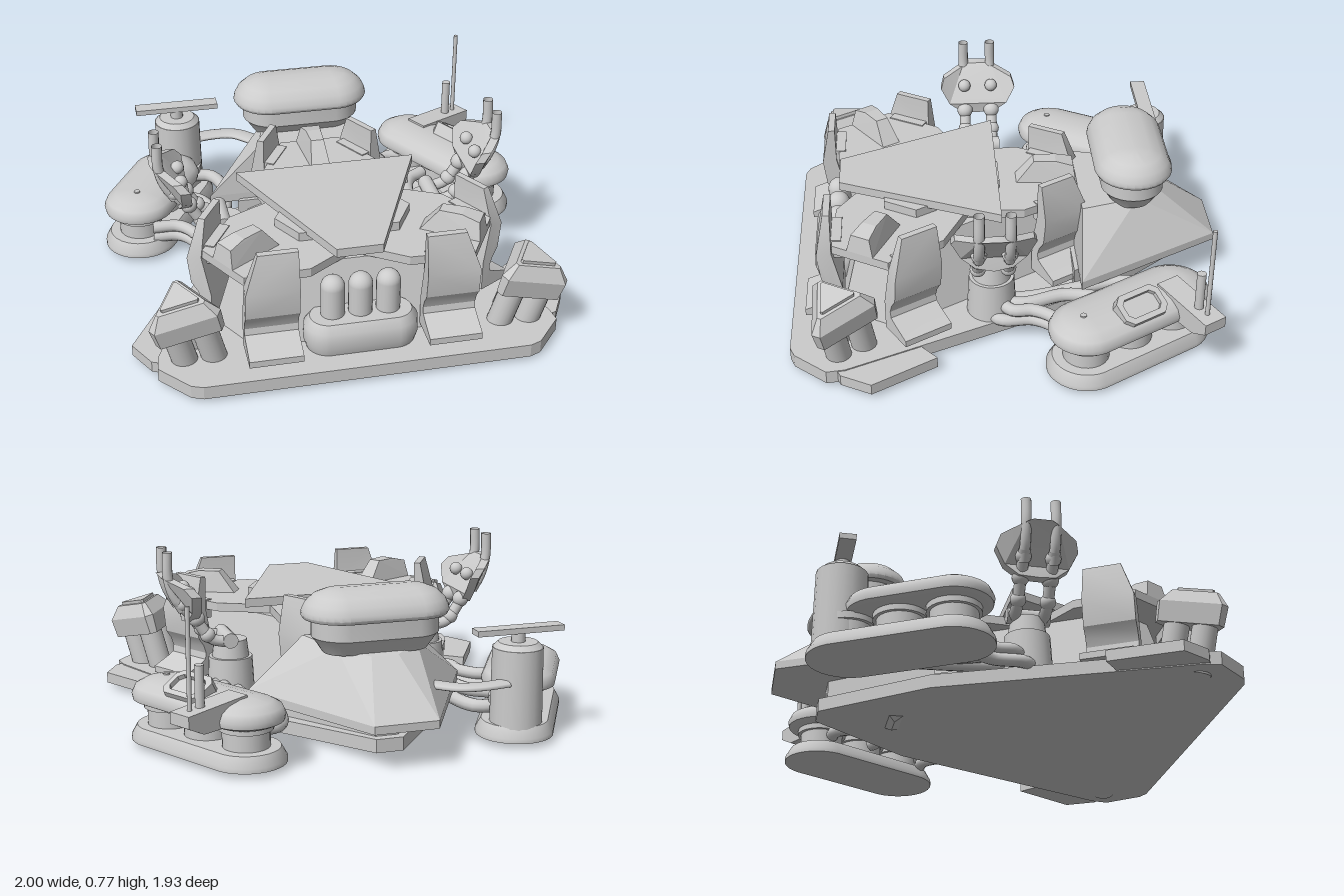
import * as THREE from 'three';
import { ConvexGeometry } from 'three/addons/geometries/ConvexGeometry.js';
import { toCreasedNormals } from 'three/addons/utils/BufferGeometryUtils.js';

const mat = new THREE.MeshStandardMaterial({ color: 0xcccccc, side: THREE.DoubleSide });
const CZ = 0.32; // centre of the three-sided superstructure

function add(parent, name, geo, pos = [0, 0, 0], rot = [0, 0, 0]) {
  const m = new THREE.Mesh(geo, mat);
  m.name = name;
  m.position.set(...pos);
  m.rotation.set(...rot);
  parent.add(m);
  return m;
}
function group(parent, name, pos = [0, 0, 0], rotY = 0) {
  const g = new THREE.Group();
  g.name = name;
  g.position.set(...pos);
  g.rotation.y = rotY;
  parent.add(g);
  return g;
}
const hull = pts => new ConvexGeometry(pts.map(p => new THREE.Vector3(...p)));
const ring = (pts, y) => pts.map(([x, z]) => [x, y, z]);
const slab = (pts, y0, y1) => hull([...ring(pts, y0), ...ring(pts, y1)]);
const mirrored = pts => pts.flatMap(([x, ...r]) => [[x, ...r], [-x, ...r]]);
const box = (w, h, d) => new THREE.BoxGeometry(w, h, d);
const cyl = (r0, r1, h, n = 24) => new THREE.CylinderGeometry(r0, r1, h, n);
const v2 = pts => pts.map(p => new THREE.Vector2(...p));

// Triangle with cut corners: e = distance of long edges, c = distance of corner cuts
function triangle(e, c) {
  const t = (c - e / 2) / Math.sin(Math.PI / 3), pts = [];
  for (let i = 0; i < 3; i++) {
    const a = i * Math.PI * 2 / 3, s = Math.sin(a), k = Math.cos(a);
    for (const u of [-t, t]) pts.push([u * k + e * s, -u * s + e * k]);
  }
  return pts;
}
// Lathe profile pulled apart along x into a long rounded body; the caps close on the long axis
function stadium(profile, half) {
  const n = 32, g = new THREE.LatheGeometry(v2(profile), n, Math.PI / n);
  const p = g.attributes.position;
  for (let i = 0; i < p.count; i++) {
    if (Math.hypot(p.getX(i), p.getZ(i)) < 0.001) p.setZ(i, 0);
    p.setX(i, p.getX(i) + Math.sign(p.getX(i)) * half);
  }
  g.computeVertexNormals();
  return toCreasedNormals(g, 0.75);
}
// Outline in (z, y), extruded towards -x, then reshaped by a rule
function sideExtrude(outline, depth, rule) {
  const g = new THREE.ExtrudeGeometry(new THREE.Shape(v2(outline)), { depth, bevelEnabled: false });
  g.rotateY(-Math.PI / 2);
  const p = g.attributes.position;
  for (let i = 0; i < p.count; i++) p.setX(i, rule(p.getX(i), p.getY(i), p.getZ(i)));
  g.computeVertexNormals();
  return toCreasedNormals(g, 0.5);
}
const tube = (pts, r) => new THREE.TubeGeometry(
  new THREE.CatmullRomCurve3(pts.map(p => new THREE.Vector3(...p))), 24, r, 12);

// Kinked armour fins with a foot, a pair for every edge, and a block at every corner
function buildSuperstructure(root) {
  const fin = sideExtrude([[0.41, 0.1], [0.58, 0.1], [0.58, 0.13], [0.49, 0.165], [0.46, 0.18], [0.455, 0.21],
    [0.47, 0.25], [0.5, 0.29], [0.515, 0.41], [0.48, 0.58], [0.45, 0.58], [0.45, 0.42], [0.41, 0.24]], 1, (x, y) => {
    const outer = y > 0.41 ? 0.5 - (y - 0.41) * 0.35 : 0.5;
    return -0.27 + x * (outer - 0.27);
  });
  const block = hull(mirrored([[0.065, 0.46, -0.65], [0.045, 0.46, -0.38], [0.035, 0.56, -0.56],
    [0.03, 0.56, -0.46], [0.045, 0.54, -0.64]]));
  const arm = slab(mirrored([[0.25, -0.1], [0.27, -0.4], [0.14, -0.65]]), 0.42, 0.46);
  for (let i = 0; i < 3; i++) {
    const g = group(root, 'superstructureSide', [0, 0, CZ], i * Math.PI * 2 / 3);
    for (const s of [1, -1]) {
      add(g, 'armourFin', fin).scale.x = s;
      add(g, 'finBracket', box(0.18, 0.09, 0.06), [s * 0.37, 0.42, 0.435]);
    }
    add(g, 'cornerArm', arm);
    add(g, 'cornerBlock', block);
  }
  const core = group(root, 'core', [0, 0, CZ]);
  add(core, 'coreBody', hull([...ring(triangle(0.42, 0.6), 0.07), ...ring(triangle(0.33, 0.5), 0.42)]));
  add(core, 'deckSupport', slab(triangle(0.22, 0.3), 0.42, 0.5));
  add(root, 'deck', slab(mirrored([[0.41, 0.03], [0.1, 0.74]]), 0.49, 0.53));
}

// Splayed launcher with three barrels under a triangular head
function buildCorner(side) {
  const g = group(side, 'cornerLauncher', [0.675, 0.02, 0.705], -Math.PI / 6);
  const lean = group(g, 'launcherLean');
  lean.rotation.z = -0.27;
  for (let i = 0; i < 3; i++) {
    const a = i * Math.PI * 2 / 3;
    add(lean, 'barrel', cyl(0.055, 0.055, 0.26, 20), [0.07 * Math.cos(a), 0.155, 0.07 * Math.sin(a)]);
  }
  const head = add(lean, 'launcherHead', hull([...ring(triangle(0.095, 0.16), 0.23),
    ...ring(triangle(0.1, 0.165), 0.32), ...ring(triangle(0.065, 0.115), 0.38)]));
  head.rotation.y = -Math.PI / 2;
  add(lean, 'headCap', slab(triangle(0.05, 0.09), 0.38, 0.395)).rotation.y = -Math.PI / 2;
}

// Jointed double arm with a curved shield
function buildArm(side) {
  const g = group(side, 'jointedArm', [0, 0, 0.08]);
  add(g, 'armDrum', cyl(0.1, 0.11, 0.18), [0.47, 0.17, 0]);
  add(g, 'armCollar', cyl(0.075, 0.085, 0.08), [0.47, 0.3, 0]);
  add(g, 'armAxle', cyl(0.035, 0.035, 0.19, 16), [0.49, 0.35, 0], [Math.PI / 2, 0, 0]);
  for (const z of [-0.065, 0.065]) {
    add(g, 'armTube', tube([[0.47, 0.34, z], [0.57, 0.36, z], [0.64, 0.45, z], [0.73, 0.55, z]], 0.026));
    for (const [x, y, r] of [[0.59, 0.38, 0.035], [0.64, 0.46, 0.038], [0.67, 0.58, 0.03], [0.7, 0.53, 0.035]])
      add(g, 'joint', new THREE.SphereGeometry(r, 16, 12), [x, y, z]);
    add(g, 'armBarrel', tube([[0.7, 0.5, z], [0.745, 0.58, z], [0.765, 0.66, z], [0.765, 0.77, z]], 0.023));
  }
  add(g, 'shield', sideExtrude([[-0.18, 0.58], [-0.165, 0.62], [-0.07, 0.65], [-0.04, 0.66], [0.04, 0.66],
    [0.07, 0.65], [0.165, 0.62], [0.18, 0.58], [0.14, 0.5], [0.08, 0.45], [0, 0.44], [-0.08, 0.45], [-0.14, 0.5]],
  0.045, (x, y, z) => 0.8 + x - (0.65 - y) * 0.5 - 2.5 * z * z));
}

// Outrigger pod: base plate, three drums, domed hull and hoses to the body
function buildPod(side, hullHalf) {
  const g = group(side, 'pod', [0.715, 0, -0.5], -1.05);
  const shift = 0.23 - hullHalf;
  add(g, 'podPlate', stadium([[0.0005, 0.025], [0.17, 0.025], [0.17, 0.045], [0.145, 0.09], [0.0005, 0.09]], 0.23));
  for (const x of [-0.23, 0, 0.23]) {
    add(g, 'podDrum', cyl(0.1, 0.1, 0.12), [x, 0.14, 0]);
    add(g, 'drumRim', cyl(0.115, 0.115, 0.03), [x, 0.18, 0]);
  }
  add(g, 'podHull', stadium([[0.0005, 0.19], [0.13, 0.19], [0.16, 0.205], [0.165, 0.23], [0.15, 0.262],
    [0.11, 0.285], [0.05, 0.298], [0.0005, 0.3]], hullHalf), [shift, 0, 0]);
  add(g, 'podStud', cyl(0.014, 0.014, 0.02, 10), [0.25, 0.295, 0]);
  add(side, 'hose', tube([[0.6, 0.14, -0.46], [0.52, 0.14, -0.4], [0.48, 0.14, -0.25], [0.53, 0.14, -0.05], [0.48, 0.14, 0.1]], 0.03));
  add(side, 'hose', tube([[0.54, 0.14, -0.66], [0.45, 0.14, -0.64], [0.4, 0.14, -0.5], [0.46, 0.12, -0.1], [0.47, 0.12, 0.08]], 0.03));
  for (const [y, d] of [[0.095, 0], [0.145, -0.05]])
    add(side, 'hose', tube([[0.78, y, -0.2], [0.66, y, -0.19], [0.59, y, -0.1], [0.58, y, 0.05 + d], [0.46, y, 0.11 + d]], 0.028));
}

function buildMastFittings(root) {
  const g = group(root, 'hatch', [0.715, 0, -0.5], -1.05);
  const rounded = (Cls, w, h, c) => new Cls(v2([[-w + c, -h], [w - c, -h], [w, -h + c], [w, h - c],
    [w - c, h], [-w + c, h], [-w, h - c], [-w, -h + c]]));
  const frame = rounded(THREE.Shape, 0.11, 0.07, 0.03);
  frame.holes.push(rounded(THREE.Path, 0.085, 0.045, 0.02));
  const at = [0.015, 0.26, -0.06], rot = [-2.08, 0, 0];
  add(g, 'hatchFrame', new THREE.ExtrudeGeometry(frame, { depth: 0.07, bevelEnabled: false }), at, rot);
  add(g, 'hatchPanel', new THREE.ExtrudeGeometry(rounded(THREE.Shape, 0.09, 0.05, 0.02),
    { depth: 0.05, bevelEnabled: false }), at, rot);
  const b = group(root, 'mastBracket', [0.755, 0, -0.745], 0.52);
  add(b, 'bracketBody', hull([-0.055, 0.055].flatMap(z => [[-0.15, 0.31, z], [0.17, 0.29, z],
    [0.17, 0.24, z], [0.09, 0.2, z], [-0.15, 0.2, z]])));
  add(b, 'tallMast', cyl(0.01, 0.01, 0.45, 10), [0.115, 0.49, 0]);
  add(b, 'shortMast', cyl(0.02, 0.02, 0.19, 12), [0.06, 0.375, 0]);
}

function buildRotor(root) {
  const g = group(root, 'rotor', [-0.59, 0, -0.735]);
  add(g, 'rotorTower', cyl(0.11, 0.115, 0.38, 20), [0, 0.23, 0]);
  add(g, 'rotorCap', cyl(0.085, 0.11, 0.025, 20), [0, 0.43, 0]);
  add(g, 'rotorShaft', cyl(0.03, 0.03, 0.06, 12), [0, 0.46, 0]);
  add(g, 'rotorBlade', box(0.4, 0.025, 0.07), [0, 0.495, 0.0]);
  const strut = tube([[0.08, 0, -0.06], [0.2, 0, -0.075], [0.29, 0, -0.06], [0.38, 0, 0.02]], 0.045);
  add(g, 'rotorStrut', strut, [0, 0.28, 0]).scale.y = 0.35;
}

export function createModel() {
  const root = new THREE.Group();
  root.name = 'model';
  add(root, 'basePlate', slab(mirrored([[0.7, 0.96], [0.75, 0.94], [0.87, 0.8], [0.86, 0.72], [0.41, -0.33], [0.06, -0.77]]), 0.02, 0.08));
  add(root, 'keelStud', hull(mirrored([[0.09, 0.03, -0.38], [0.09, 0.03, -0.47], [0.05, 0, -0.43]])));
  buildSuperstructure(root);

  // Front tray with three capsules
  add(root, 'tray', stadium([[0.0005, 0.08], [0.095, 0.08], [0.108, 0.12], [0.105, 0.19], [0.08, 0.225], [0.0005, 0.225]], 0.14), [0, 0, 0.765]);
  for (const x of [-0.12, 0, 0.12])
    add(root, 'capsule', new THREE.CapsuleGeometry(0.052, 0.13, 8, 20), [x, 0.295, 0.755]);

  // Rear wedge and engine
  add(root, 'rearWedge', hull(mirrored([[0.49, 0.17, -0.32], [0.49, 0.21, -0.32], [0.14, 0.17, -0.97], [0.14, 0.205, -0.97],
    [0.25, 0.44, -0.34], [0.06, 0.42, -0.7], [0.18, 0.44, -0.6]])));
  add(root, 'rearKeel', slab(mirrored([[0.36, -0.3], [0.05, -0.73]]), 0.07, 0.18));
  add(root, 'engineNeck', stadium([[0.09, 0.42], [0.13, 0.48], [0.14, 0.49], [0.14, 0.58]], 0.14), [0, 0, -0.575]);
  add(root, 'engineHood', stadium([[0.0005, 0.57], [0.165, 0.57], [0.174, 0.585], [0.17, 0.605], [0.155, 0.635],
    [0.12, 0.667], [0.07, 0.687], [0.0005, 0.695]], 0.15), [0, 0, -0.575]);

  for (const s of [1, -1]) {
    const side = group(root, s > 0 ? 'leftSide' : 'rightSide');
    side.scale.x = s;
    add(side, 'sideFlange', slab([[0.8, 0.33], [0.96, 0.61], [0.89, 0.74], [0.8, 0.78], [0.6, 0.5]], 0.025, 0.075));
    buildCorner(side);
    buildArm(side);
    buildPod(side, s > 0 ? 0.23 : 0.15); // the rotor tower replaces the rear of one hull
  }
  buildMastFittings(root);
  buildRotor(root);
  return root;
}
